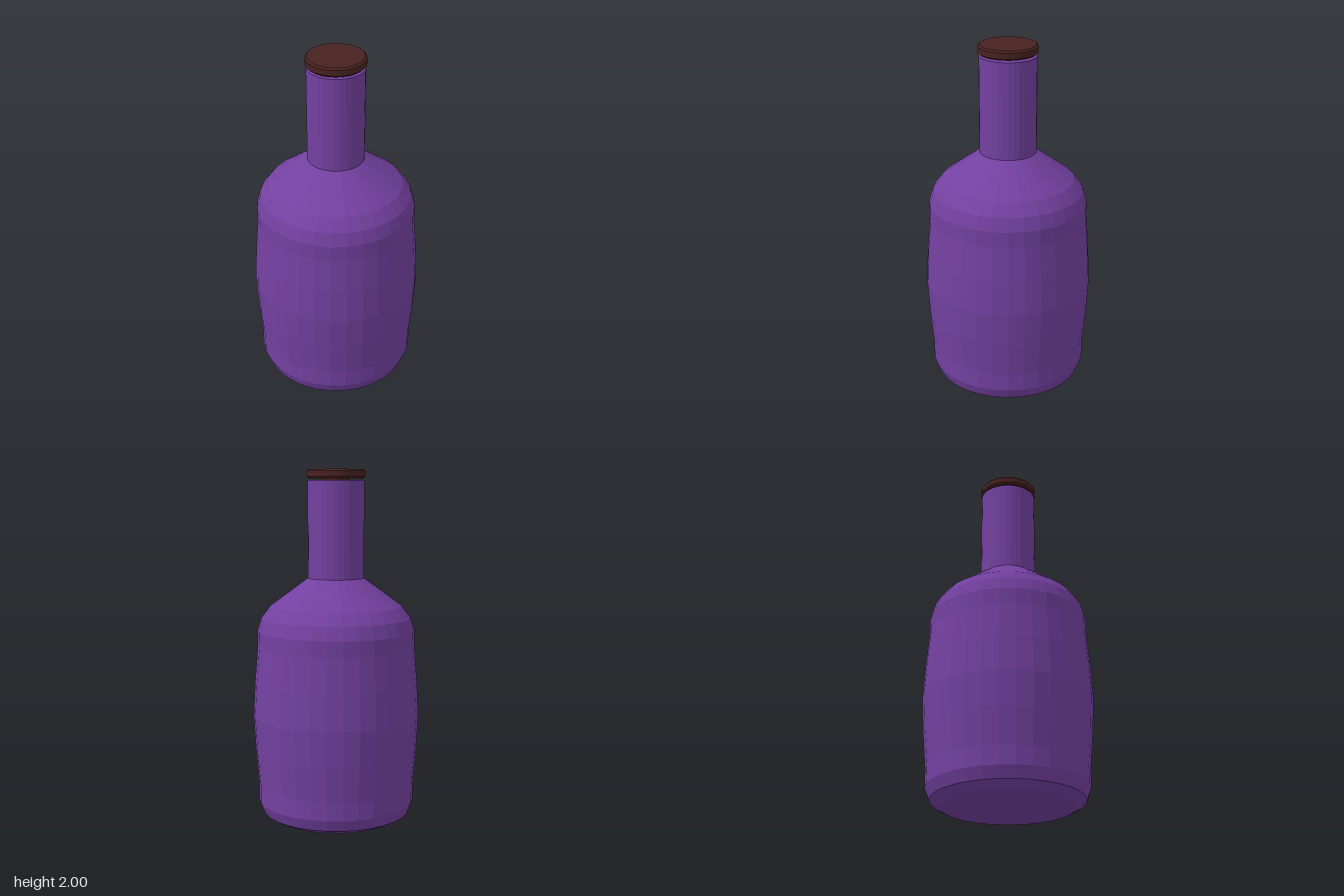
import * as THREE from 'three';

const SIDES = 32;

// Faceted solid of revolution from [radius, height] pairs, bottom to top
function turned(name, profile, material) {
  const points = profile.map(([r, y]) => new THREE.Vector2(r, y));
  const mesh = new THREE.Mesh(new THREE.LatheGeometry(points, SIDES), material);
  mesh.name = name;
  return mesh;
}

export function createModel() {
  const group = new THREE.Group();
  group.name = 'bottle';
  const glass = new THREE.MeshStandardMaterial({ color: 0x7340a0, flatShading: true });
  const cork = new THREE.MeshStandardMaterial({ color: 0x482220, flatShading: true });

  // Gently bulging body with chamfered base and sloping shoulder
  group.add(turned('body', [
    [0, 0], [0.37, 0], [0.425, 0.03], [0.45, 0.095], [0.45, 0.2],
    [0.467, 0.4], [0.478, 0.6], [0.467, 0.8], [0.45, 1.0], [0.45, 1.09],
    [0.427, 1.165], [0.377, 1.23], [0.16, 1.39],
  ], glass));

  // Straight neck with a flat lip
  group.add(turned('neck', [[0.16, 1.39], [0.16, 1.938], [0, 1.938]], glass));

  // Stopper: narrow stem under a bevelled disc
  group.add(turned('stopperStem', [[0.07, 1.93], [0.07, 1.955]], cork));
  group.add(turned('stopperCap', [
    [0, 1.948], [0.155, 1.948], [0.165, 1.958], [0.165, 1.99], [0.155, 2], [0, 2],
  ], cork));

  return group;
}
